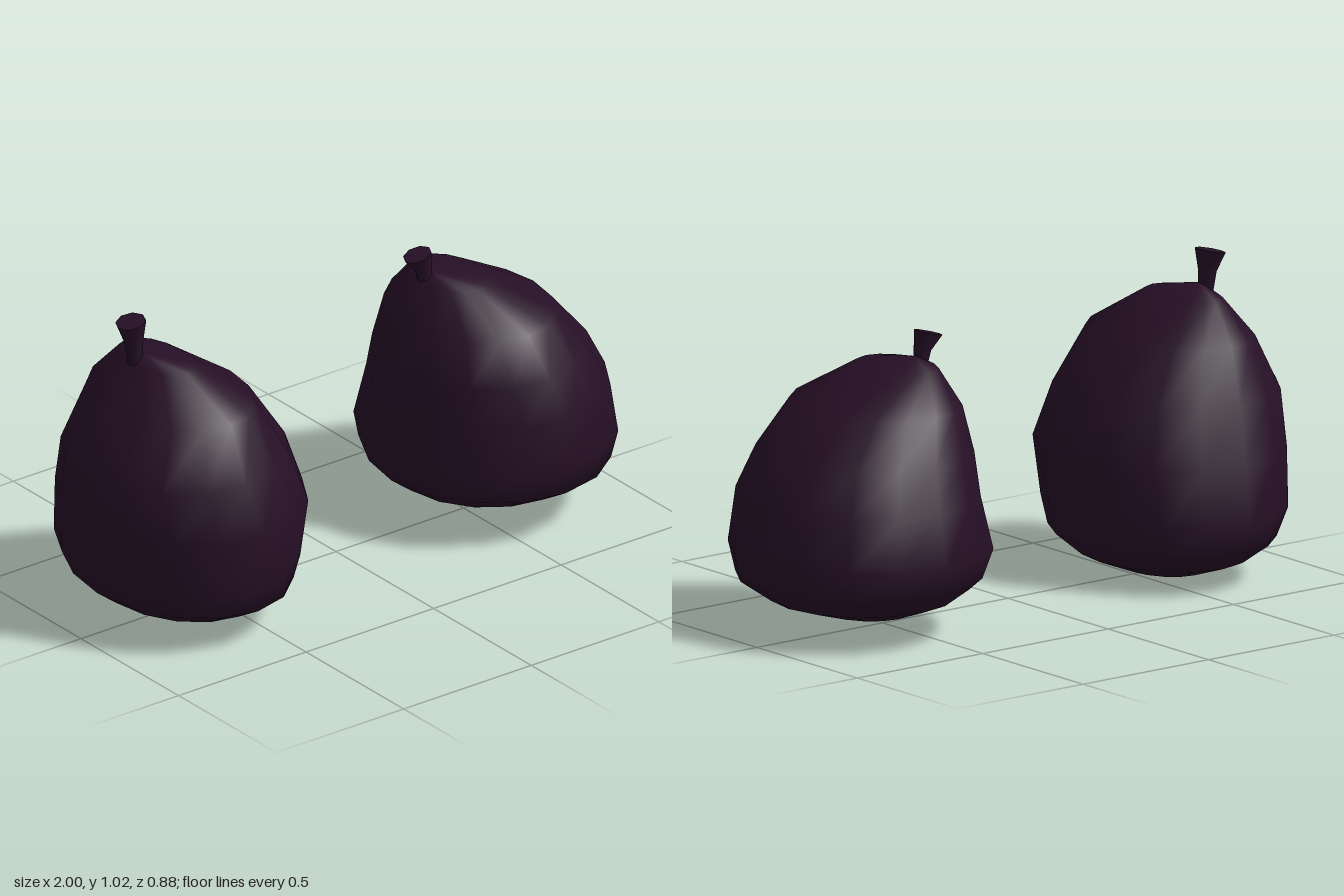
import * as THREE from 'three';
import { mergeVertices, toCreasedNormals } from 'three/addons/utils/BufferGeometryUtils.js';

// Skin of oval cross-sections from bottom to top: [y, xMin, xMax, zMin, zMax, tilt along x]
function loft(rings, sides) {
  const pos = [], index = [];
  for (const [y, x0, x1, z0, z1, tilt = 0] of rings) {
    for (let j = 0; j < sides; j++) {
      const a = (j / sides) * Math.PI * 2;
      const c = Math.cos(a), s = Math.sin(a);
      pos.push((x0 + x1) / 2 + c * (x1 - x0) / 2, y + c * tilt, (z0 + z1) / 2 + s * (z1 - z0) / 2);
    }
  }
  for (let i = 0; i < rings.length - 1; i++) {
    for (let j = 0; j < sides; j++) {
      const a = i * sides + j, b = i * sides + (j + 1) % sides;
      index.push(a, a + sides, b, b, a + sides, b + sides);
    }
  }
  const geo = new THREE.BufferGeometry();
  geo.setAttribute('position', new THREE.Float32BufferAttribute(pos, 3));
  geo.setIndex(index);
  const merged = mergeVertices(geo, 1e-4); // closes the poles
  merged.computeVertexNormals();
  return merged;
}

export function createModel() {
  const model = new THREE.Group();
  const skin = new THREE.MeshStandardMaterial({ color: 0x260f26 });
  skin.name = 'dark purple skin';

  const fruits = [
    {
      name: 'tallFruit',
      body: [
        [0.00, -0.60, -0.60, -0.03, -0.03],
        [0.018, -0.71, -0.47, -0.19, 0.12],
        [0.065, -0.84, -0.35, -0.33, 0.28],
        [0.13, -0.925, -0.28, -0.42, 0.39],
        [0.22, -0.97, -0.265, -0.44, 0.425],
        [0.41, -0.99, -0.24, -0.415, 0.44],
        [0.58, -1.00, -0.30, -0.345, 0.39],
        [0.76, -0.885, -0.42, -0.30, 0.315],
        [0.876, -0.775, -0.595, -0.18, 0.135],
        [0.905, -0.74, -0.74, -0.03, -0.03],
      ],
      stem: [
        [0.86, -0.78, -0.735, -0.06, -0.012],
        [0.94, -0.79, -0.735, -0.072, -0.01],
        [1.01, -0.81, -0.715, -0.105, -0.005, 0.01],
        [1.01, -0.76, -0.76, -0.055, -0.055],
      ],
    },
    {
      name: 'squatFruit',
      body: [
        [0.05, 0.58, 0.58, -0.03, -0.03],
        [0.063, 0.45, 0.73, -0.19, 0.12],
        [0.11, 0.31, 0.89, -0.32, 0.28],
        [0.175, 0.225, 0.98, -0.41, 0.39],
        [0.27, 0.19, 1.00, -0.44, 0.42],
        [0.44, 0.23, 0.96, -0.405, 0.41],
        [0.57, 0.225, 0.89, -0.34, 0.37],
        [0.715, 0.27, 0.765, -0.29, 0.31],
        [0.825, 0.345, 0.56, -0.17, 0.14],
        [0.845, 0.39, 0.39, -0.03, -0.03],
      ],
      stem: [
        [0.81, 0.35, 0.395, -0.05, -0.005],
        [0.86, 0.335, 0.39, -0.055, 0.0],
        [0.916, 0.297, 0.39, -0.075, 0.01, 0.012],
        [0.916, 0.345, 0.345, -0.033, -0.033],
      ],
    },
  ];

  for (const { name, body, stem } of fruits) {
    const fruit = new THREE.Group();
    fruit.name = name;
    const bodyMesh = new THREE.Mesh(loft(body, 16), skin);
    bodyMesh.name = name + 'Body';
    // Flared stem with a crisp cut end
    const stemMesh = new THREE.Mesh(toCreasedNormals(loft(stem, 8), 0.9), skin);
    stemMesh.name = name + 'Stem';
    fruit.add(bodyMesh, stemMesh);
    model.add(fruit);
  }
  return model;
}
